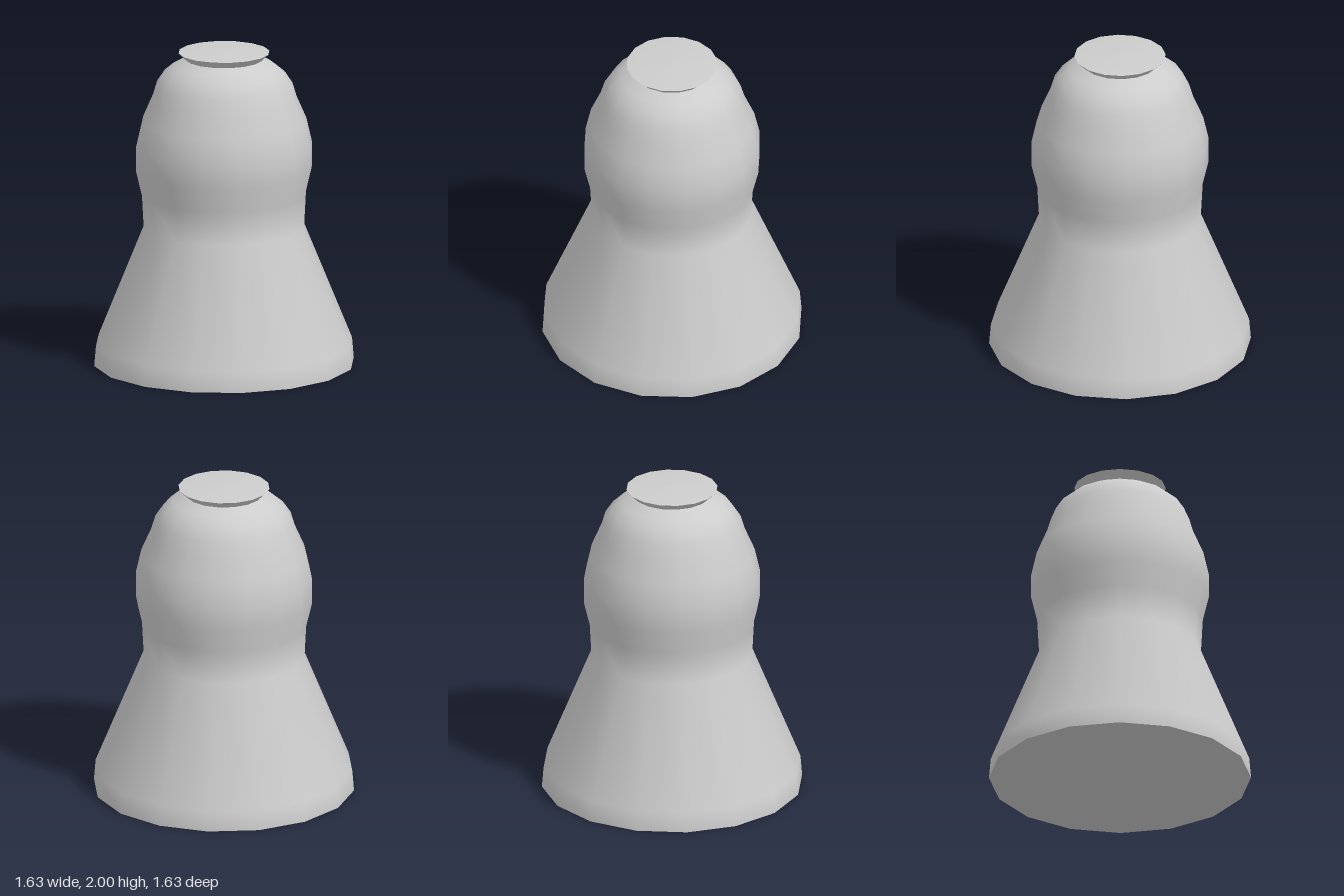
import * as THREE from 'three';

export function createModel() {
  const model = new THREE.Group();
  const grey = new THREE.MeshStandardMaterial({ color: 0xcccccc });
  grey.name = 'light grey';

  // Sixteen-sided turned part from [radius, height] pairs, listed bottom to top on the outside
  const turned = (name, profile) => {
    const points = profile.map(([r, y]) => new THREE.Vector2(r, y));
    const mesh = new THREE.Mesh(new THREE.LatheGeometry(points, 16), grey);
    mesh.name = name;
    model.add(mesh);
  };

  // Closed underside
  turned('base', [[0, 0], [0.815, 0]]);

  // Flared skirt, waist and rounded head in one smooth surface
  turned('body', [
    [0.815, 0], [0.804, 0.13], [0.504, 0.87], [0.515, 1.08],
    [0.552, 1.235], [0.552, 1.395], [0.518, 1.545], [0.455, 1.69],
    [0.43, 1.775], [0.38, 1.85], [0.32, 1.9], [0.24, 1.94],
  ]);

  // Flaring collar on top of the head
  turned('collar', [[0.24, 1.94], [0.285, 1.985]]);

  // Very slightly domed lid
  turned('lid', [[0.285, 1.985], [0.2, 1.993], [0, 2]]);

  return model;
}
